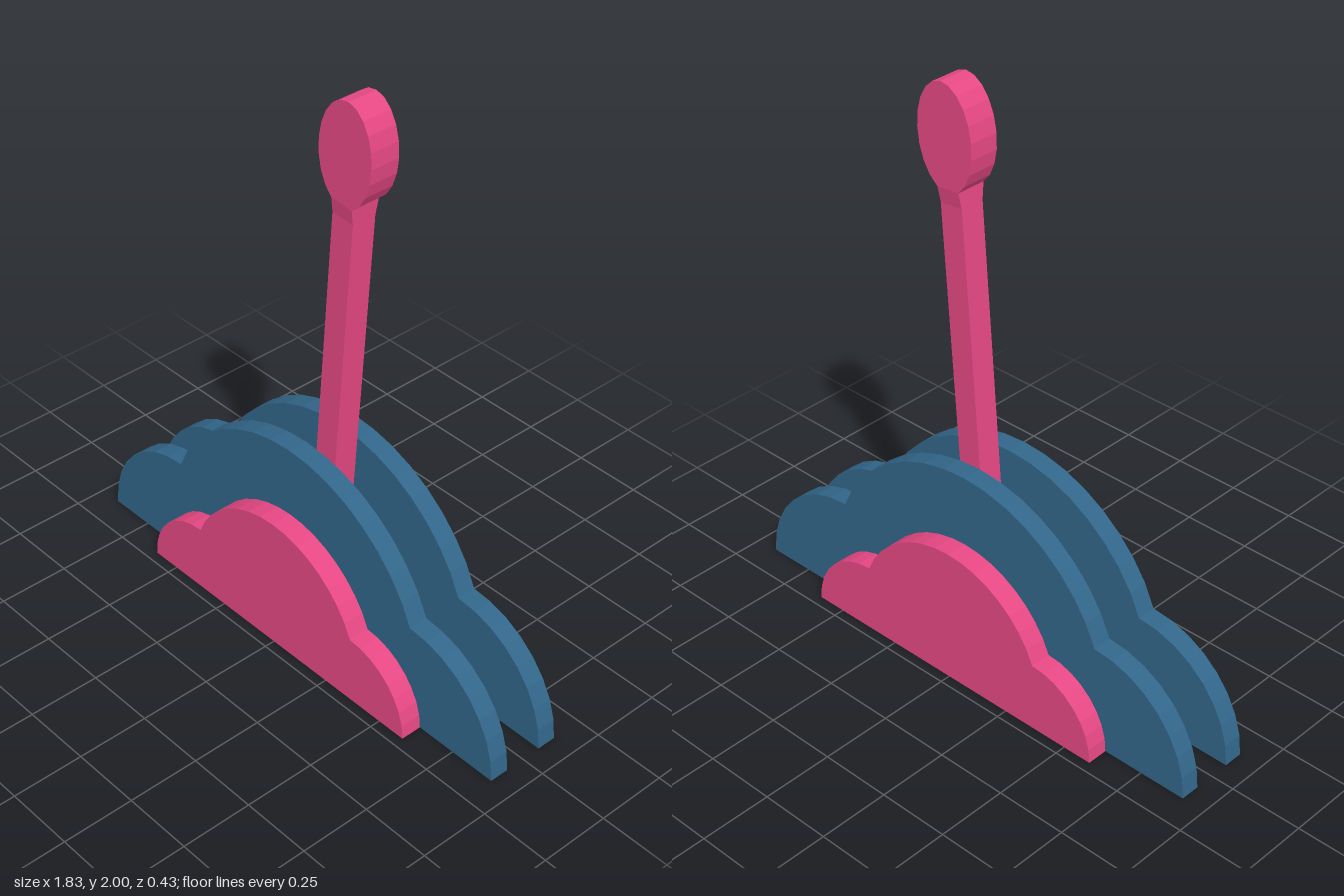
import * as THREE from 'three';

const pink = new THREE.MeshStandardMaterial({ color: 0xe64883, flatShading: true });
const blue = new THREE.MeshStandardMaterial({ color: 0x32668a, flatShading: true });

function addMesh(parent, name, geometry, material) {
  const mesh = new THREE.Mesh(geometry, material);
  mesh.name = name;
  parent.add(mesh);
  return mesh;
}

// Points along an elliptical arc, both ends included
function arc(cx, cy, rx, ry, from, to, steps) {
  return Array.from({ length: steps + 1 }, (_, i) => {
    const a = from + ((to - from) * i) / steps;
    return new THREE.Vector2(cx + rx * Math.cos(a), cy + ry * Math.sin(a));
  });
}

// Flat slab of the outline, from z0 to z0 + depth
function slab(points, z0, depth) {
  const geometry = new THREE.ExtrudeGeometry(new THREE.Shape(points), { depth, bevelEnabled: false });
  return geometry.translate(0, 0, z0);
}

// Three-lobed half outline: a quarter-round on each side and a dome between
function lobedOutline(scale) {
  const joinX = 0.549, joinY = 0.373, domeY = 0.143, domeR = 0.597;
  const a = Math.atan2(joinY - domeY, joinX);
  return [
    ...arc(joinX, 0, 0.368, joinY, 0, Math.PI / 2, 8),
    ...arc(0, domeY, domeR, domeR, a, Math.PI - a, 16).slice(1, -1),
    ...arc(-joinX, 0, 0.368, joinY, Math.PI / 2, Math.PI, 8),
  ].map((p) => p.multiplyScalar(scale));
}

// Rectangular bar through sections of [y, half width, half depth]
function loftBar(sections) {
  const positions = [], index = [];
  for (const [y, w, d] of sections) positions.push(-w, y, d, w, y, d, w, y, -d, -w, y, -d);
  for (let s = 0; s < sections.length - 1; s++) {
    for (let i = 0; i < 4; i++) {
      const a = s * 4 + i, b = s * 4 + ((i + 1) % 4);
      index.push(a, b, b + 4, a, b + 4, a + 4);
    }
  }
  const geometry = new THREE.BufferGeometry();
  geometry.setAttribute('position', new THREE.Float32BufferAttribute(positions, 3));
  geometry.setIndex(index);
  const flat = geometry.toNonIndexed();
  flat.computeVertexNormals();
  return flat;
}

export function createModel() {
  const model = new THREE.Group();
  model.name = 'leverControl';

  // Housing: a large plate and a smaller cover on each side of the lever
  for (const [side, label] of [[1, 'front'], [-1, 'back']]) {
    const place = (near, far) => [side > 0 ? near : -far, far - near];
    addMesh(model, label + 'Plate', slab(lobedOutline(1), ...place(0.069, 0.138)), blue);
    addMesh(model, label + 'Cover', slab(lobedOutline(0.66), ...place(0.138, 0.213)), pink);
  }

  // Lever, leaning about the hub centre
  const lever = new THREE.Group();
  lever.name = 'lever';
  lever.position.set(0.022, 0.165, 0);
  lever.rotation.z = -0.078;
  model.add(lever);

  const half = 0.0435, hubR = 0.165, knobRx = 0.11, knobRy = 0.178, knobY = 1.662;
  const hubA = Math.asin(half / hubR), knobA = Math.asin(half / knobRx);
  const hubTop = hubR * Math.cos(hubA), knobBottom = knobY - knobRy * Math.cos(knobA);

  // Hub and knob are rounds cut flat where the shaft meets them
  const hub = arc(0, 0, hubR, hubR, Math.PI / 2 + hubA, Math.PI * 2.5 - hubA, 18);
  addMesh(lever, 'hub', slab(hub, -0.064, 0.128), pink);
  const knob = arc(0, knobY, knobRx, knobRy, -Math.PI / 2 + knobA, Math.PI * 1.5 - knobA, 18);
  addMesh(lever, 'knob', slab(knob, -0.053, 0.106), pink);

  // Shaft flares in depth at both ends
  addMesh(lever, 'shaft', loftBar([
    [hubTop, half, 0.064],
    [0.245, half, 0.044],
    [knobBottom - 0.055, half, 0.044],
    [knobBottom, half, 0.053],
  ]), pink);

  return model;
}
